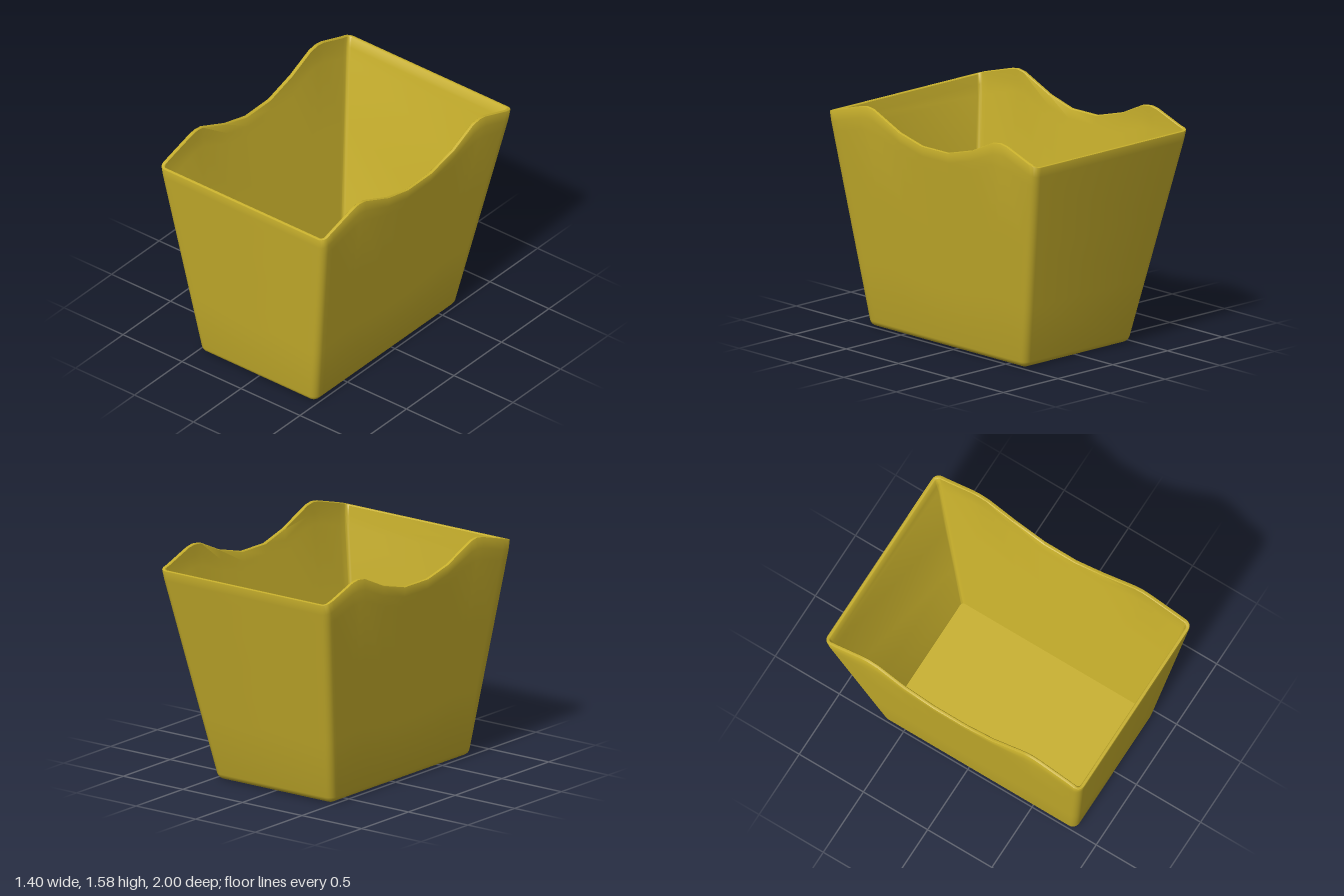
import * as THREE from 'three';
import { toCreasedNormals } from 'three/addons/utils/BufferGeometryUtils.js';

// Rim height along z: low in the middle of the sides, two raised ears
const RIM = [[-1, 1.475], [-0.92, 1.495], [-0.71, 1.568], [-0.65, 1.577], [-0.58, 1.568], [-0.38, 1.475],
  [-0.15, 1.41], [0.1, 1.408], [0.31, 1.46], [0.56, 1.568], [0.62, 1.577], [0.68, 1.568], [0.9, 1.505], [1, 1.475]];
const R = 0.05;      // corner radius
const WALL = 0.025;  // wall thickness
const FLOOR = 0.03;  // floor thickness

function rimHeight(z) {
  for (let i = 1; i < RIM.length; i++) {
    const [z0, y0] = RIM[i - 1], [z1, y1] = RIM[i];
    if (z <= z1) return THREE.MathUtils.mapLinear(z, z0, z1, y0, y1);
  }
  return RIM[RIM.length - 1][1];
}

// Perimeter of the rounded rectangle: c = corner-centre factors, n = outward direction
function perimeter() {
  const list = [], steps = 6;
  const corners = [[1, 1], [-1, 1], [-1, -1], [1, -1]];
  const inner = RIM.slice(1, -1).map(([z]) => z / (1 - R));
  corners.forEach(([cx, cz], k) => {
    for (let i = 0; i <= steps; i++) {
      const a = (k + i / steps) * Math.PI / 2;
      list.push({ cx, cz, nx: Math.cos(a), nz: Math.sin(a) });
    }
    if (k === 1) [...inner].reverse().forEach(s => list.push({ cx: -1, cz: s, nx: -1, nz: 0 }));
    if (k === 3) inner.forEach(s => list.push({ cx: 1, cz: s, nx: 1, nz: 0 }));
  });
  return list;
}

// Point of the tapered section at height y, moved inward by inset
function sectionPoint(p, y, inset) {
  const tx = Math.min(1, y / 1.44), tz = Math.min(1, y / 1.475);
  const r = Math.max(R - inset, 0.012);
  const halfX = 0.487 + 0.213 * tx - inset - r;
  const front = 0.828 + 0.172 * tz, back = -0.667 - 0.333 * tz;
  const halfZ = (front - back) / 2 - inset - r;
  return [p.cx * halfX + p.nx * r, y, (front + back) / 2 + p.cz * halfZ + p.nz * r];
}

function shellGeometry() {
  const loop = perimeter(), n = loop.length;
  // Rows run from under the floor, up the outside, over the rim and down the inside
  const rows = [];
  for (let i = 0; i <= 5; i++) {
    const a = i / 5 * Math.PI / 2;
    rows.push([() => 0.04 * (1 - Math.cos(a)), 0.04 * (1 - Math.sin(a))]);
  }
  const levels = [0.3, 0.6, 0.9, 0.95];
  levels.forEach(t => rows.push([h => h * t, 0]));
  rows.push([h => h - 0.007, 0], [h => h - 0.002, 0.002], [h => h, 0.007]);
  rows.push([h => h, WALL - 0.005], [h => h - 0.005, WALL]);
  [...levels].reverse().forEach(t => rows.push([h => h * t, WALL]));
  rows.push([() => FLOOR, WALL]);

  const pos = [], index = [];
  for (const [height, inset] of rows) {
    for (const p of loop) {
      const h = rimHeight(p.cz * (1 - R) + p.nz * R);
      pos.push(...sectionPoint(p, height(h), inset));
    }
  }
  for (let i = 0; i < rows.length - 1; i++) {
    for (let j = 0; j < n; j++) {
      const k = (j + 1) % n;
      const a = i * n + j, b = i * n + k, c = b + n, d = a + n;
      index.push(a, d, c, a, c, b);
    }
  }
  // Underside and inner floor as fans
  const under = pos.length / 3, floor = under + 1, last = (rows.length - 1) * n;
  pos.push(0, 0, 0.08, 0, FLOOR, 0.08);
  for (let j = 0; j < n; j++) {
    const k = (j + 1) % n;
    index.push(under, j, k, floor, last + k, last + j);
  }
  const geo = new THREE.BufferGeometry();
  geo.setAttribute('position', new THREE.Float32BufferAttribute(pos, 3));
  geo.setIndex(index);
  return toCreasedNormals(geo, 0.7);
}

export function createModel() {
  const group = new THREE.Group();
  group.name = 'openBin';
  const material = new THREE.MeshStandardMaterial({ color: 0xc8b02c });
  const shell = new THREE.Mesh(shellGeometry(), material);
  shell.name = 'binShell';
  group.add(shell);
  return group;
}
